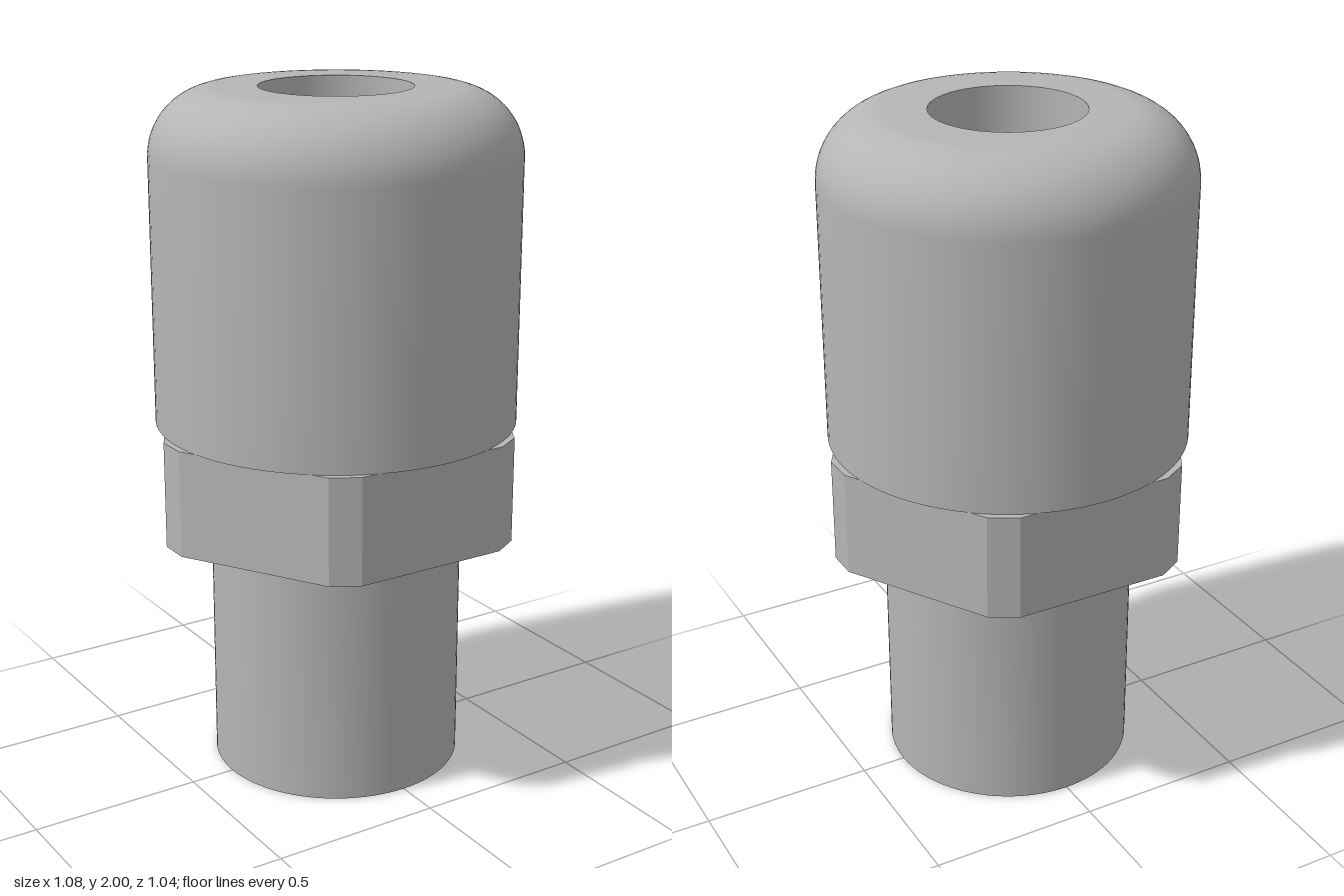
import * as THREE from 'three';
import { toCreasedNormals } from 'three/addons/utils/BufferGeometryUtils.js';

const BORE = 0.216, SEGMENTS = 96;
const NUT_BOTTOM = 0.74, NUT_TOP = 1.05, TOP = 2;

export function createModel() {
  const group = new THREE.Group();
  const grey = new THREE.MeshStandardMaterial({ color: 0xb5b5b5 });
  grey.name = 'grey';

  function add(name, geometry) {
    const mesh = new THREE.Mesh(toCreasedNormals(geometry, 0.4), grey);
    mesh.name = name;
    group.add(mesh);
  }
  const lathe = (points) =>
    new THREE.LatheGeometry(points.map(([r, y]) => new THREE.Vector2(r, y)), SEGMENTS);

  // Lower pipe with its bore
  const pipeRadius = 0.367;
  add('pipe', lathe([[BORE, NUT_BOTTOM], [BORE, 0], [pipeRadius, 0], [pipeRadius, NUT_BOTTOM]]));

  // Hexagonal nut with cut-off corners on the x axis
  const apothem = 0.49, cornerCut = 0.54;
  const halfCut = (apothem / Math.cos(Math.PI / 6) - cornerCut) * Math.sqrt(3);
  const outline = [];
  for (let i = 0; i < 6; i++) {
    for (const side of [-1, 1]) {
      outline.push(new THREE.Vector2(cornerCut, side * halfCut)
        .rotateAround(new THREE.Vector2(), i * Math.PI / 3));
    }
  }
  const nutShape = new THREE.Shape(outline);
  nutShape.holes.push(new THREE.Path().absarc(0, 0, BORE, 0, Math.PI * 2, true));
  const nut = new THREE.ExtrudeGeometry(nutShape, {
    depth: NUT_TOP - NUT_BOTTOM, bevelEnabled: false, curveSegments: SEGMENTS / 2,
  });
  nut.rotateX(-Math.PI / 2).translate(0, NUT_BOTTOM, 0);
  add('hexNut', nut);

  // Domed cap: straight wall, rounded shoulder, flat top and bore
  const capRadius = 0.522, fillet = 0.19;
  const profile = [[BORE, NUT_TOP], [capRadius, NUT_TOP]];
  for (let i = 0; i <= 14; i++) {
    const a = (i / 14) * Math.PI / 2;
    profile.push([capRadius - fillet + fillet * Math.cos(a), TOP - fillet + fillet * Math.sin(a)]);
  }
  profile.push([BORE, TOP], [BORE, NUT_TOP]);
  add('cap', lathe(profile));

  return group;
}
